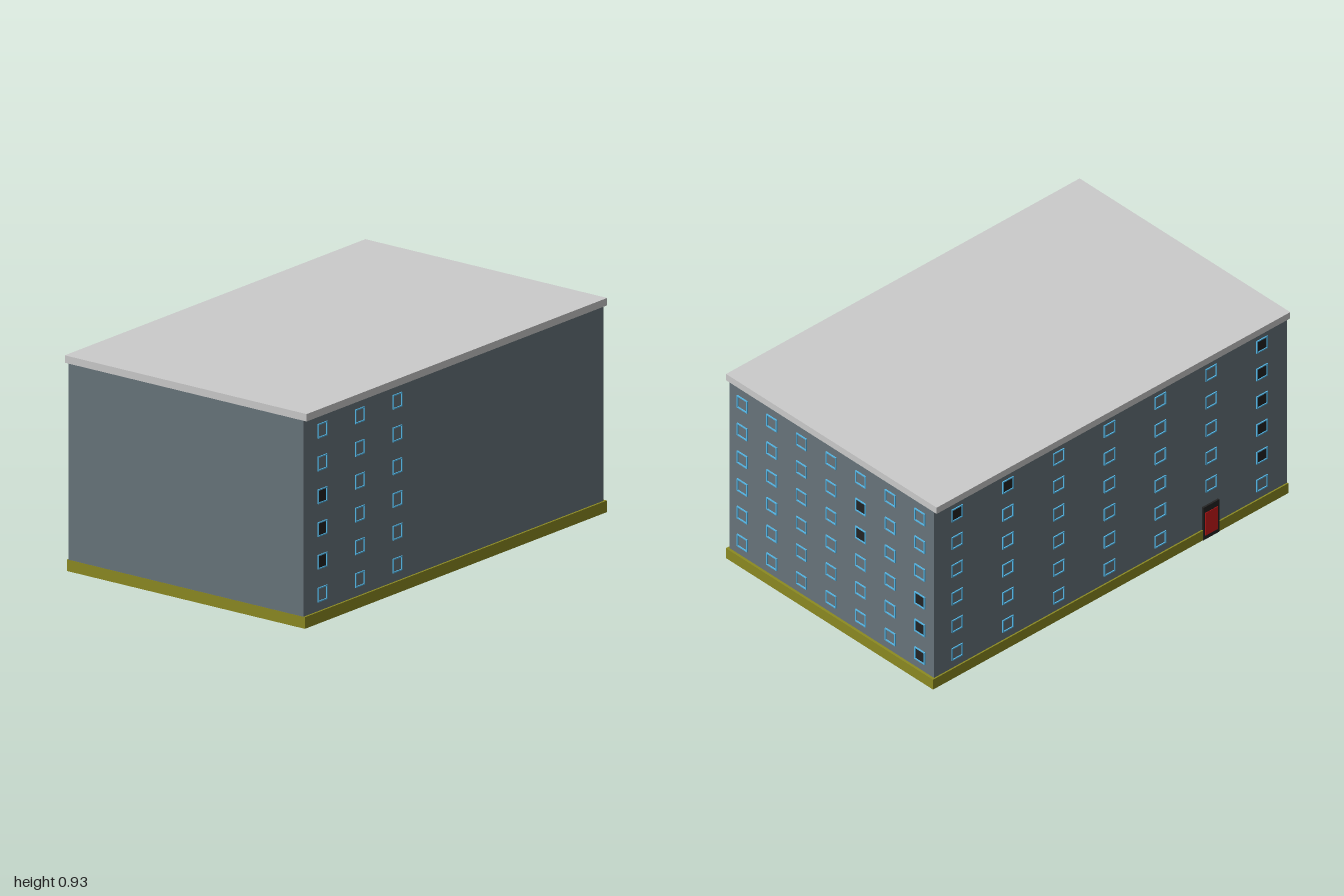
import * as THREE from 'three';

const mat = (color) => new THREE.MeshStandardMaterial({ color });
const WALL = mat(0x68757c), BASE = mat(0x8c8a22), ROOF = mat(0xcccccc);
const FRAME = mat(0x55b8e8), GLASS = mat(0x242424), DOOR = mat(0xcc1a1a);

const ROWS = [0.12, 0.262, 0.403, 0.545, 0.687, 0.828];
const SIZE = 0.062, RIM = 0.005, DEPTH = 0.005;

// Box given by its minimum and maximum corners
function block(name, min, max, material) {
  const size = max.map((v, i) => v - min[i]);
  const mesh = new THREE.Mesh(new THREE.BoxGeometry(...size), material);
  mesh.position.set(...max.map((v, i) => (v + min[i]) / 2));
  mesh.name = name;
  return mesh;
}

// Square ring extruded outward along +z
function frameGeometry() {
  const square = (h) => [[-h, -h], [h, -h], [h, h], [-h, h]].map(([x, y]) => new THREE.Vector2(x, y));
  const shape = new THREE.Shape(square(SIZE / 2));
  shape.holes.push(new THREE.Path(square(SIZE / 2 - RIM).reverse()));
  return new THREE.ExtrudeGeometry(shape, { depth: DEPTH, bevelEnabled: false });
}

// One facade: window frames in a grid, with dark panes where listed as 'column,row'
function facade(name, columns, dark, skip = []) {
  const group = new THREE.Group();
  group.name = name;
  const ring = frameGeometry();
  const glass = new THREE.PlaneGeometry(SIZE - 2 * RIM, SIZE - 2 * RIM);
  columns.forEach((x, c) => ROWS.forEach((y, r) => {
    const key = `${c},${r}`;
    if (skip.includes(key)) return;
    const frame = new THREE.Mesh(ring, FRAME);
    frame.name = 'windowFrame';
    frame.position.set(x, y, 0);
    group.add(frame);
    if (dark.includes(key)) {
      const pane = new THREE.Mesh(glass, GLASS);
      pane.name = 'windowPane';
      pane.position.set(x, y, 0.001);
      group.add(pane);
    }
  }));
  return group;
}

const spaced = (start, step, count) => Array.from({ length: count }, (_, i) => start + step * i);

export function createModel() {
  const building = new THREE.Group();
  building.name = 'apartmentBuilding';

  // Main masses
  building.add(
    block('plinth', [-1, 0, -0.624], [1, 0.05, 0.626], BASE),
    block('walls', [-0.999, 0.05, -0.617], [0.988, 0.898, 0.617], WALL),
    block('roofSlab', [-1, 0.898, -0.635], [0.99, 0.93, 0.635], ROOF),
  );

  // Front: three columns near one end
  const front = facade('frontWindows', spaced(-0.875, 0.248, 3), ['0,1', '0,2', '0,3']);
  front.position.z = 0.617;

  // Left end: seven columns
  const end = facade('endWindows', spaced(-0.537, 0.1785, 7),
    ['4,3', '4,4', '6,0', '6,1', '6,2']);
  end.rotation.y = Math.PI / 2;
  end.position.x = 0.988;

  // Back: seven columns, the door replacing one ground-floor window
  const back = facade('backWindows', spaced(-0.86, 0.286, 7),
    ['0,5', '1,5', '6,1', '6,2', '6,3', '6,4', '6,5'], ['5,0']);
  back.rotation.y = Math.PI;
  back.position.z = -0.617;
  building.add(front, end, back);

  // Back door
  building.add(
    block('doorFrame', [-0.61, 0, -0.626], [-0.52, 0.165, -0.61], GLASS),
    block('doorLeaf', [-0.6, 0.02, -0.628], [-0.53, 0.135, -0.612], DOOR),
  );
  return building;
}
